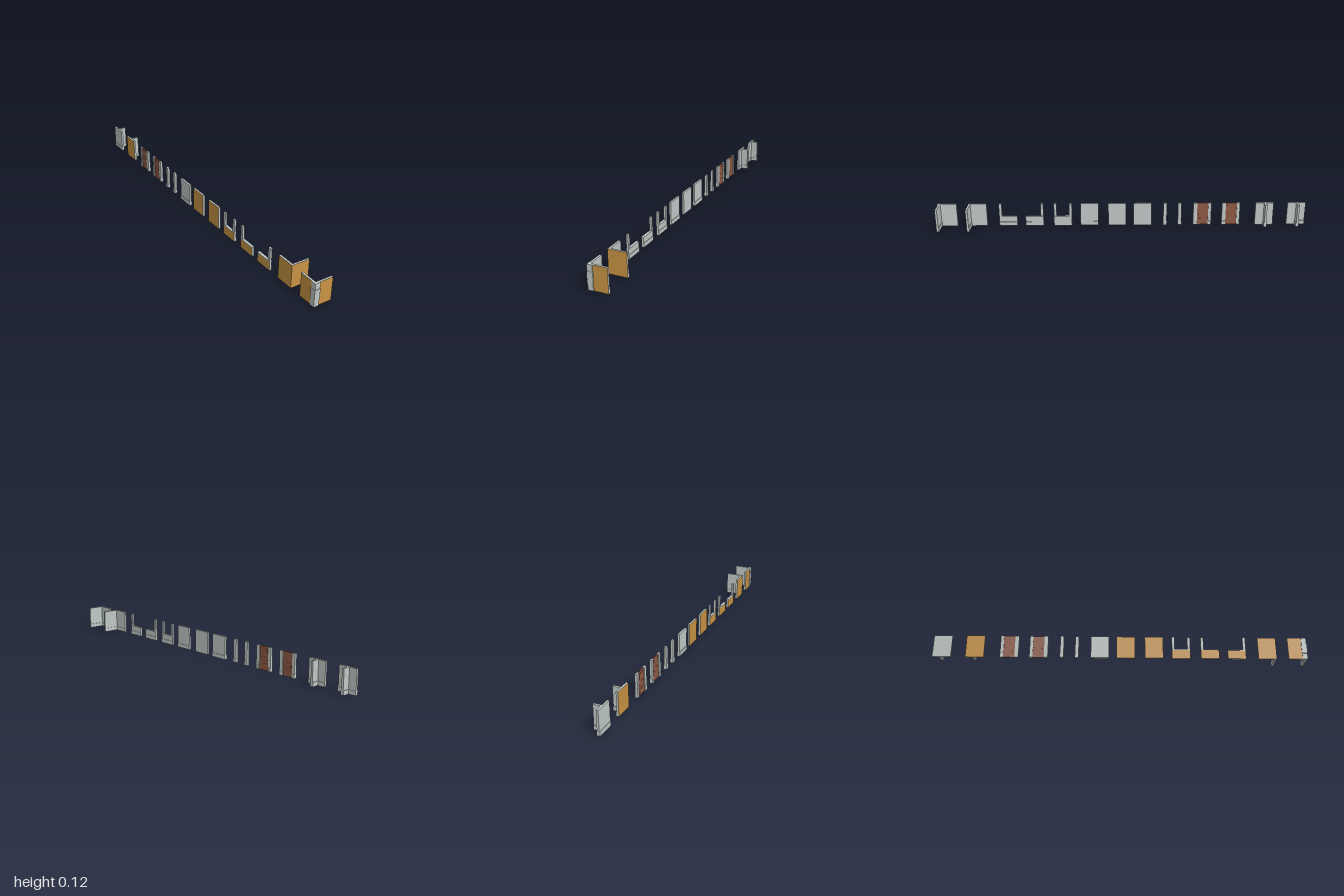
import * as THREE from 'three';

const named = (name, color) => {
  const m = new THREE.MeshStandardMaterial({ color });
  m.name = name;
  return m;
};

export function createModel() {
  const plaster = named('greyPlaster', 0xc0c9c7);
  const ochre = named('ochreFacade', 0xc89444);
  const wood = named('brownWood', 0x8f5a45);
  const iron = named('darkIron', 0x2a2a2a);
  // Painted on one face only: -x for street walls, +z for corner returns
  const streetFace = [plaster, ochre, plaster, plaster, plaster, plaster];
  const frontFace = [plaster, plaster, plaster, plaster, ochre, plaster];

  const root = new THREE.Group();
  root.name = 'wallKit';
  const H = 0.125, LOW = 0.053, W = 0.098; // full height, parapet height, panel width
  const OUT = -0.048, IN = -0.037;         // outer and inner wall planes
  const BASE = 0.022, LIP = 0.0028;        // skirting height and projection

  const group = (name) => {
    const g = new THREE.Group();
    g.name = name;
    root.add(g);
    return g;
  };
  const box = (g, name, [x0, x1], [y0, y1], [z0, z1], mat = plaster) => {
    const m = new THREE.Mesh(new THREE.BoxGeometry(x1 - x0, y1 - y0, z1 - z0), mat);
    m.position.set((x0 + x1) / 2, (y0 + y1) / 2, (z0 + z1) / 2);
    m.name = name;
    g.add(m);
  };
  const span = (c, w = W) => [c - w / 2, c + w / 2];

  // Straight wall with optional skirtings
  const wall = (g, c, { painted = true, inner = true, outer = false, top = H } = {}) => {
    box(g, 'wallPanel', [OUT, IN], [0, top], span(c), painted ? streetFace : plaster);
    if (inner) box(g, 'innerSkirting', [IN, IN + LIP], [0, BASE], span(c));
    if (outer) box(g, 'outerSkirting', [OUT - LIP, OUT], [0, BASE], span(c));
  };

  // Corner walls
  const corner = (name, zFront) => {
    const g = group(name);
    const zBack = zFront - 0.011, z0 = zFront - 0.098;
    box(g, 'sideWall', [OUT, IN], [0, H], [z0, zFront - 0.0005], streetFace);
    box(g, 'returnWall', [OUT, 0.051], [0, H], [zBack, zFront], frontFace);
    // keep the street side of the return painted too
    box(g, 'cornerPaint', [OUT - 0.0003, OUT], [0, H], [zBack, zFront], ochre);
    box(g, 'sideSkirting', [IN, IN + LIP], [0, BASE], [z0, zBack]);
    box(g, 'returnSkirting', [IN, 0.051], [0, BASE], [zBack - LIP, zBack]);
    return g;
  };
  const quoined = corner('quoinedCorner', 0.995);
  corner('plainCorner', 0.833);

  // Corner stones wrapping the outside edge, the middle one slightly larger
  [[0, 0.034, 0], [0.034, 0.092, 0.0015], [0.092, H, 0]].forEach(([y0, y1, e]) => {
    const x0 = -0.05 - e, z1 = 0.9985 + e;
    box(quoined, 'quoinFront', [x0, -0.0225 + e], [y0, y1], [0.99, z1]);
    box(quoined, 'quoinSide', [x0, -0.042], [y0, y1], [0.972 - e, 0.99]);
  });

  // Window parapets; post at the +z end, the -z end, or both
  [['windowLeft', 0.62, [1]], ['windowRight', 0.477, [-1]], ['windowFull', 0.322, [1, -1]]]
    .forEach(([name, c, ends]) => {
      const g = group(name);
      wall(g, c, { top: LOW - 0.004 });
      box(g, 'sill', [OUT - 0.002, IN + 0.002], [LOW - 0.004, LOW], span(c));
      ends.forEach((s) =>
        box(g, 'windowPost', [OUT, IN], [LOW, H], span(c + s * (W / 2 - 0.0075), 0.015)));
    });

  // Plain walls
  wall(group('facadeWall'), 0.177);
  wall(group('upperFacadeWall'), 0.026, { inner: false });
  wall(group('interiorWall'), -0.112, { painted: false, outer: true });

  // Free-standing posts
  [[-0.235, true], [-0.315, true]].forEach(([c, foot]) => {
    const g = group('post');
    box(g, 'shaft', [OUT - 0.001, IN + 0.001], [0, H], span(c, 0.019));
    if (foot) box(g, 'foot', [OUT - LIP, IN + LIP], [0, BASE], span(c, 0.021));
  });

  // Doors with jambs, raised panels and knobs
  [-0.438, -0.594].forEach((c) => {
    const g = group('doorway');
    const leaf = [c - 0.032, c + 0.028];
    box(g, 'jambFront', [OUT - 0.001, IN + 0.001], [0, H], [c + 0.028, c + W / 2]);
    box(g, 'jambBack', [OUT - 0.001, IN + 0.001], [0, H], [c - W / 2, c - 0.032]);
    box(g, 'jambFootFront', [OUT - LIP, IN + LIP], [0, BASE], [c + 0.03, c + W / 2]);
    box(g, 'jambFootBack', [OUT - LIP, IN + LIP], [0, BASE], [c - W / 2, c - 0.034]);
    box(g, 'doorLeaf', [-0.0455, -0.0395], [0, H], leaf, wood);
    [[0.012, 0.036], [0.046, 0.07], [0.08, 0.113]].forEach((y) =>
      box(g, 'doorPanel', [-0.0465, -0.0385], y, [leaf[0] + 0.01, leaf[1] - 0.01], wood));
    [-0.0495, -0.0355].forEach((x) => {
      const knob = new THREE.Mesh(new THREE.SphereGeometry(0.0016, 10, 8), iron);
      knob.position.set(x, 0.056, leaf[0] + 0.005);
      knob.name = 'doorKnob';
      g.add(knob);
      box(g, 'knobStem', [Math.min(x, -0.043), Math.max(x, -0.043)], [0.0555, 0.0565],
        span(leaf[0] + 0.005, 0.001), iron);
    });
  });

  // T-junctions with a partition running inwards
  [['facadeJunction', -0.777, -0.779, true], ['interiorJunction', -0.951, -0.954, false]]
    .forEach(([name, c, zp, painted]) => {
      const g = group(name);
      wall(g, c, { painted, outer: !painted });
      box(g, 'partition', [IN, 0.002], [0, H], span(zp, 0.011));
      box(g, 'partitionSkirting', [IN, 0.002], [0, BASE], span(zp, 0.011 + 2 * LIP));
    });

  return root;
}
